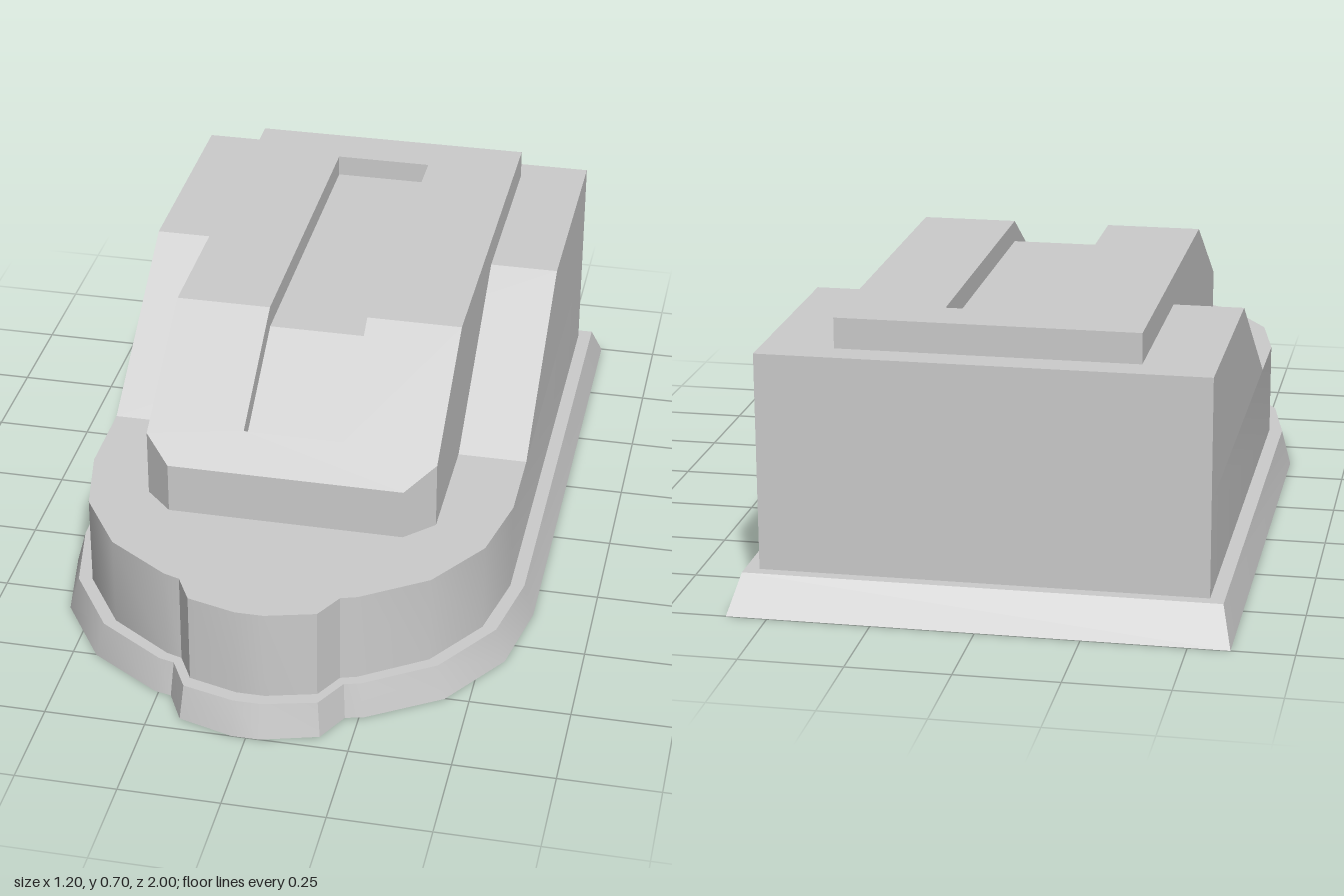
import * as THREE from 'three';
import { toCreasedNormals } from 'three/addons/utils/BufferGeometryUtils.js';

const material = new THREE.MeshStandardMaterial({ color: 0xcccccc });

// Full plan outline from its +x half, listed back to front as [x, z]
const mirrored = (half) => [...half, ...half.map(([x, z]) => [-x, z]).reverse()];

// Solid between two plan outlines; the upper height may vary with z
function loft(lower, upper, y0, topY) {
  const contour = lower.map(([x, z]) => new THREE.Vector2(x, z));
  if (THREE.ShapeUtils.isClockWise(contour)) {
    return loft([...lower].reverse(), [...upper].reverse(), y0, topY);
  }
  const n = lower.length;
  const positions = [
    ...lower.flatMap(([x, z]) => [x, y0, z]),
    ...upper.flatMap(([x, z]) => [x, topY(z), z]),
  ];
  const index = [];
  for (let i = 0; i < n; i++) {
    const j = (i + 1) % n;
    index.push(i, i + n, j + n, i, j + n, j);
  }
  for (const [a, b, c] of THREE.ShapeUtils.triangulateShape(contour, [])) {
    index.push(a, b, c, c + n, b + n, a + n);
  }
  const geometry = new THREE.BufferGeometry();
  geometry.setAttribute('position', new THREE.Float32BufferAttribute(positions, 3));
  geometry.setIndex(index);
  return toCreasedNormals(geometry, 0.55);
}

// Side profile of [z, y] points extruded across the width
function sideExtrude(profile, width) {
  const shape = new THREE.Shape(profile.map(([z, y]) => new THREE.Vector2(z, y)));
  return new THREE.ExtrudeGeometry(shape, { depth: width, bevelEnabled: false })
    .rotateY(-Math.PI / 2)
    .translate(width / 2, 0, 0);
}

export function createModel() {
  const group = new THREE.Group();
  const add = (name, geometry) => {
    const mesh = new THREE.Mesh(geometry, material);
    mesh.name = name;
    group.add(mesh);
  };

  // Flared skirt with a rounded nose and a small front bulge
  const skirtBottom = mirrored([[0.6, -1], [0.6, 0.36], [0.56, 0.57], [0.44, 0.752],
    [0.26, 0.865], [0.217, 0.875], [0.173, 0.96], [0.035, 1]]);
  const skirtTop = mirrored([[0.575, -0.94], [0.575, 0.365], [0.535, 0.565], [0.42, 0.74],
    [0.25, 0.85], [0.211, 0.86], [0.165, 0.945], [0.035, 0.978]]);
  add('skirt', loft(skirtBottom, skirtTop, 0, () => 0.09));

  // Lower hull follows the skirt outline, set in
  const hull = mirrored([[0.54, -0.91], [0.54, 0.37], [0.5, 0.56], [0.395, 0.72],
    [0.237, 0.825], [0.197, 0.838], [0.157, 0.912], [0.035, 0.945]]);
  add('lowerHull', loft(hull, hull, 0.09, () => 0.325));

  // Rear hull with sloping shoulders
  add('rearHull', sideExtrude([[0.155, 0.325], [-0.315, 0.625], [-0.91, 0.625], [-0.91, 0.325]], 1.08));

  // Raised centre deck, in a sloped and a level half around the recess
  const kink = 0.155;
  const roof = (z) => 0.7 - Math.max(0, z - kink) * 0.6125;
  const frontDeck = mirrored([[0.125, 0.455], [0.125, kink], [0.365, kink], [0.365, 0.485], [0.295, 0.555]]);
  const rearDeck = mirrored([[0.125, -0.705], [0.125, kink], [0.365, kink], [0.365, -0.835]]);
  add('frontDeck', loft(frontDeck, frontDeck, 0.325, roof));
  add('rearDeck', loft(rearDeck, rearDeck, 0.325, roof));

  // Floor of the long recess, parallel to the deck
  const drop = 0.055;
  add('recessFloor', sideExtrude([[0.455, 0.325], [0.455, roof(0.455) - drop], [kink, 0.7 - drop],
    [-0.705, 0.7 - drop], [-0.705, 0.325]], 0.25));

  return group;
}
